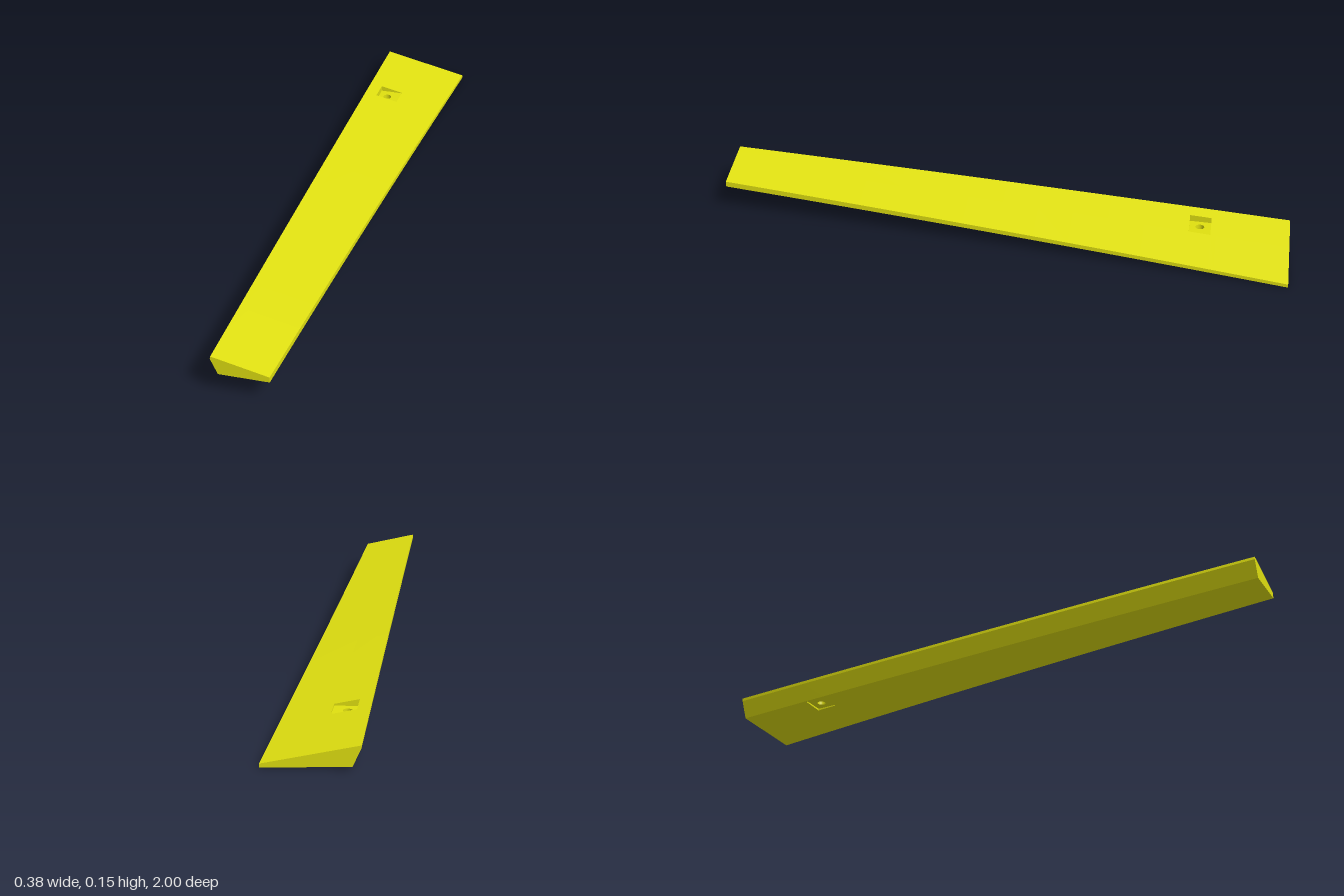
import * as THREE from 'three';

const material = new THREE.MeshStandardMaterial({ color: 0xe0e010, flatShading: true, side: THREE.DoubleSide });

// Five-sided section, counterclockwise from the front: [x, y] at the back and the front end
const BACK = [[-0.11, 0.08], [-0.109, 0.07], [-0.083, 0.011], [0.19, 0.001], [0.19, 0.013]];
const FRONT = [[-0.189, 0.153], [-0.191, 0.143], [-0.168, 0.087], [-0.005, 0.09], [-0.005, 0.11]];
const POCKET_Z = [-0.73, -0.655];
const HOLE = { x: -0.047, z: -0.692, r: 0.015 };

// Corner i of the section at depth z, with a slight lengthwise bow
function corner(i, z) {
  const t = (z + 1) / 2, bow = 1 - z * z;
  const p = BACK[i], q = FRONT[i];
  const sag = i >= 3 ? -0.004 * bow : 0;
  return new THREE.Vector3(p[0] + (q[0] - p[0]) * t + sag, p[1] + (q[1] - p[1]) * t + 0.004 * bow, z);
}

// Point on side i at fraction u
const onSide = (i, u, z) => corner(i, z).lerp(corner((i + 1) % 5, z), u);

// Fraction of side i that lies at x, beside the pocket
function fractionAt(i, x) {
  const a = corner(i, HOLE.z).x, b = corner((i + 1) % 5, HOLE.z).x;
  return (x - a) / (b - a);
}

function meshOf(points, name) {
  const geometry = new THREE.BufferGeometry().setFromPoints(points);
  geometry.computeVertexNormals();
  const mesh = new THREE.Mesh(geometry, material);
  mesh.name = name;
  return mesh;
}

const quad = (out, a, b, c, d) => out.push(a, b, c, a, c, d);

// One long side; the cell between the pocket fractions is left open
function longSide(i, name, opening) {
  const stations = [...POCKET_Z];
  for (let k = 0; k <= 16; k++) stations.push(-1 + k / 8);
  stations.sort((a, b) => a - b);
  const us = opening ? [0, ...opening, 1] : [0, 1];
  const out = [];
  for (let s = 0; s < stations.length - 1; s++) {
    const z0 = stations[s], z1 = stations[s + 1];
    const inPocket = z0 >= POCKET_Z[0] && z1 <= POCKET_Z[1];
    for (let k = 0; k < us.length - 1; k++) {
      if (opening && inPocket && k === 1) continue;
      const u0 = us[k], u1 = us[k + 1];
      quad(out, onSide(i, u0, z0), onSide(i, u1, z0), onSide(i, u1, z1), onSide(i, u0, z1));
    }
  }
  return meshOf(out, name);
}

// Recess with a level floor and a round hole in it
function pocket(i, opening, name, levelFromRim) {
  const [u0, u1] = opening, [z0, z1] = POCKET_Z;
  const rim = [onSide(i, u0, z0), onSide(i, u1, z0), onSide(i, u1, z1), onSide(i, u0, z1)];
  const level = levelFromRim(rim.map(p => p.y));
  const base = rim.map(p => new THREE.Vector3(p.x, level, p.z));
  const walls = [];
  rim.forEach((p, k) => {
    const n = (k + 1) % 4;
    quad(walls, p, base[k], base[n], rim[n]);
  });
  const group = new THREE.Group();
  group.name = name;
  group.add(meshOf(walls, name + 'Walls'));

  // The floor is drawn in (x, -z) and laid flat
  const shape = new THREE.Shape(base.map(p => new THREE.Vector2(p.x, -p.z)));
  shape.holes.push(new THREE.Path().absarc(HOLE.x, -HOLE.z, HOLE.r, 0, Math.PI * 2, true));
  const floor = new THREE.Mesh(new THREE.ShapeGeometry(shape, 12).rotateX(-Math.PI / 2), material);
  floor.position.y = level;
  floor.name = name + 'Floor';
  group.add(floor);
  return { group, level };
}

export function createModel() {
  const model = new THREE.Group();
  model.name = 'taperedBar';

  // Long sides
  const topOpening = [fractionAt(4, 0), fractionAt(4, -0.08)];
  const bottomOpening = [fractionAt(2, -0.09), fractionAt(2, -0.01)];
  model.add(
    longSide(0, 'upperRightEdge'),
    longSide(1, 'rightSlope'),
    longSide(2, 'underside', bottomOpening),
    longSide(3, 'leftEdge'),
    longSide(4, 'topFace', topOpening)
  );

  // End caps
  for (const [z, name] of [[1, 'frontEnd'], [-1, 'backEnd']]) {
    const out = [];
    for (let k = 1; k < 4; k++) {
      const tri = [corner(0, z), corner(k, z), corner(k + 1, z)];
      out.push(...(z > 0 ? tri : tri.reverse()));
    }
    model.add(meshOf(out, name));
  }

  // Recesses above and below, joined by a bolt hole
  const top = pocket(4, topOpening, 'topRecess', ys => Math.min(...ys) - 0.002);
  const bottom = pocket(2, bottomOpening, 'bottomRecess', ys => Math.max(...ys) + 0.001);
  model.add(top.group, bottom.group);

  const depth = top.level - bottom.level;
  const bore = new THREE.Mesh(new THREE.CylinderGeometry(HOLE.r, HOLE.r, depth, 24, 1, true), material);
  bore.position.set(HOLE.x, bottom.level + depth / 2, HOLE.z);
  bore.name = 'boltHole';
  model.add(bore);

  return model;
}
